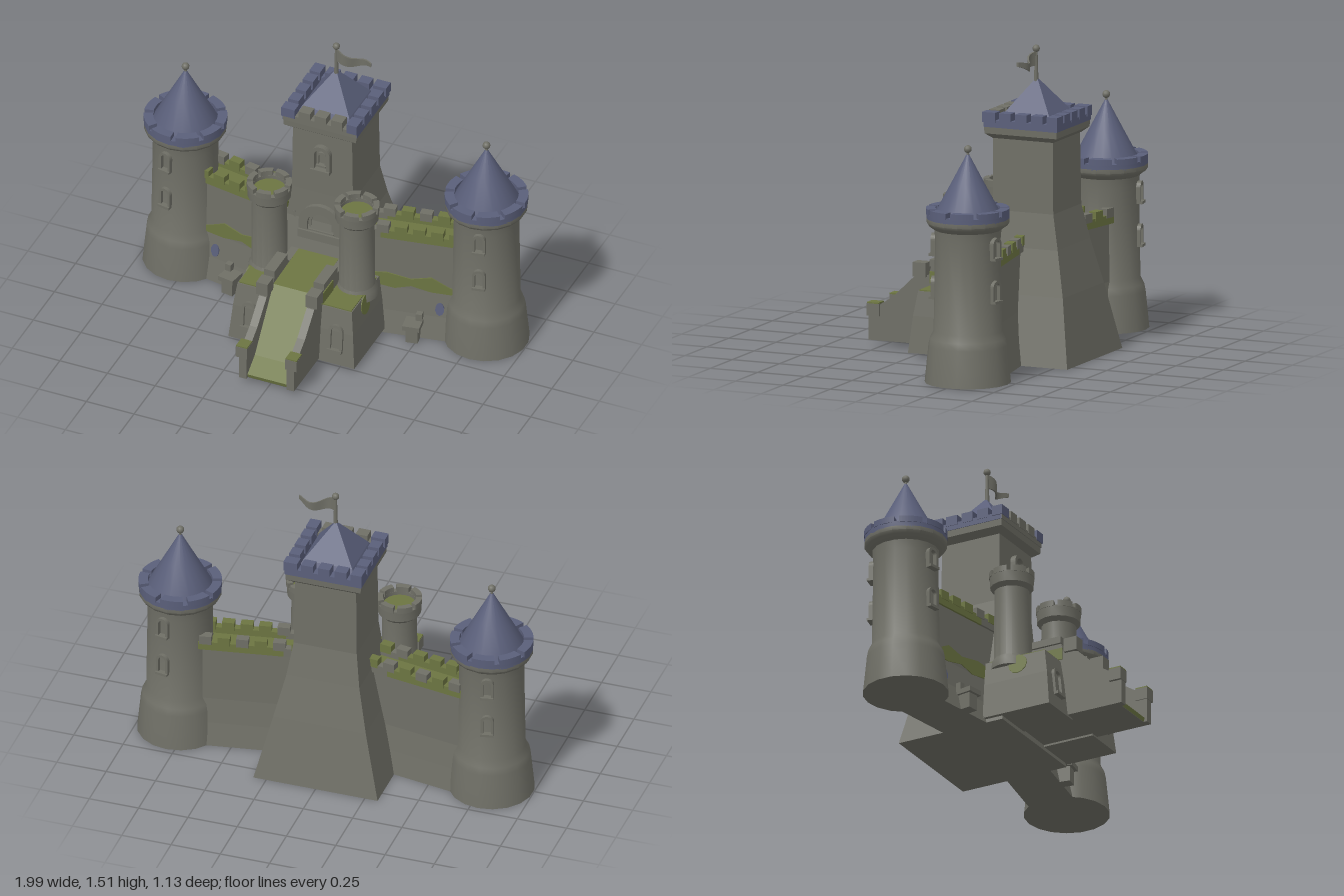
import * as THREE from 'three';
import { toCreasedNormals } from 'three/addons/utils/BufferGeometryUtils.js';

const material = (name, color) => {
  const m = new THREE.MeshStandardMaterial({ color, side: THREE.DoubleSide });
  m.name = name;
  return m;
};

export function createModel() {
  const stone = material('stone', 0x6f6f66);
  const slate = material('slate blue', 0x5a5f7a);
  const moss = material('moss', 0x6c7542);
  const model = new THREE.Group();
  model.name = 'castle';

  const add = (parent, name, geo, mat, x = 0, y = 0, z = 0) => {
    const m = new THREE.Mesh(geo, mat);
    m.name = name;
    m.position.set(x, y, z);
    parent.add(m);
    return m;
  };
  const group = (parent, name, x = 0, y = 0, z = 0) => {
    const g = new THREE.Group();
    g.name = name;
    g.position.set(x, y, z);
    parent.add(g);
    return g;
  };
  const box = (parent, name, mat, w, h, d, x, y, z) =>
    add(parent, name, new THREE.BoxGeometry(w, h, d), mat, x, y, z);
  const lathe = (pts, n = 18) => toCreasedNormals(
    new THREE.LatheGeometry(pts.map(p => new THREE.Vector2(...p)), n), 0.6);
  const extrude = (shape, depth) =>
    new THREE.ExtrudeGeometry(shape, { depth, bevelEnabled: false, curveSegments: 8 });
  const polygon = pts => new THREE.Shape(pts.map(p => new THREE.Vector2(...p)));

  // stacked rectangles, each [y, x0, x1, zBack, zFront]
  const loft = levels => {
    const rings = levels.map(([y, a, b, c, d]) => [[a, y, d], [b, y, d], [b, y, c], [a, y, c]]);
    const v = [];
    const quad = (p, q, r, s) => v.push(...p, ...q, ...r, ...p, ...r, ...s);
    for (let i = 0; i + 1 < rings.length; i++)
      for (let k = 0; k < 4; k++) {
        const n = (k + 1) % 4;
        quad(rings[i][k], rings[i][n], rings[i + 1][n], rings[i + 1][k]);
      }
    const [a, b, c, d] = rings[0];
    quad(d, c, b, a);
    quad(...rings[rings.length - 1]);
    const g = new THREE.BufferGeometry();
    g.setAttribute('position', new THREE.Float32BufferAttribute(v, 3));
    g.computeVertexNormals();
    return g;
  };

  const arch = (w, h, P = THREE.Shape) => {
    const s = new P();
    s.moveTo(-w, 0).lineTo(w, 0).lineTo(w, h - w);
    s.absarc(0, h - w, w, 0, Math.PI, false);
    s.lineTo(-w, 0);
    return s;
  };
  // arched frame with a sill, facing +z
  const windowFrame = (parent, name, w, h, rim, x, y, z, turn = 0, depth = 0.03) => {
    const g = group(parent, name, x, y, z);
    g.rotation.y = turn;
    const s = arch(w, h);
    const hole = arch(w - rim, h - 2 * rim, THREE.Path);
    s.holes.push(new THREE.Path(hole.getPoints(8).map(p => p.setY(p.y + rim))));
    add(g, 'frame', extrude(s, depth), stone);
    box(g, 'sill', stone, w * 2, rim, depth + 0.01, 0, rim / 2, depth / 2 + 0.005);
    return g;
  };

  // ring of curved battlement blocks
  const merlons = (parent, mat, n, r0, r1, y, h, fill) => {
    for (let i = 0; i < n; i++) {
      const a = (i / n) * Math.PI * 2, b = a + (fill * Math.PI * 2) / n;
      const s = new THREE.Shape();
      s.absarc(0, 0, r1, a, b, false);
      s.absarc(0, 0, r0, b, a, true);
      const m = add(parent, 'merlon', extrude(s, h), mat, 0, y, 0);
      m.rotation.x = -Math.PI / 2;
    }
  };

  // keep with its flared foot
  const keep = group(model, 'keep');
  add(keep, 'keepBody', loft([
    [0, -0.315, 0.315, -0.57, 0], [0.33, -0.235, 0.235, -0.51, -0.05],
    [0.55, -0.185, 0.185, -0.46, -0.1], [0.72, -0.16, 0.16, -0.425, -0.105],
    [1.1, -0.155, 0.155, -0.42, -0.105]]), stone);
  const crown = group(keep, 'keepCrown', 0, 0, -0.265);
  add(crown, 'corbel', loft([[1.07, -0.16, 0.16, -0.16, 0.16], [1.095, -0.19, 0.19, -0.19, 0.19],
    [1.13, -0.192, 0.192, -0.192, 0.192]]), stone);
  for (let k = 0; k < 4; k++) {
    const side = group(crown, 'parapet');
    side.rotation.y = (k * Math.PI) / 2;
    box(side, 'parapetWall', k ? slate : stone, 0.386, 0.035, 0.05, 0, 1.145, 0.17);
    for (let i = -2; i < 2; i++)
      box(side, 'merlon', k === 0 && Math.abs(i) < 2 ? stone : slate,
        i === -2 ? 0.07 : 0.06, 0.05, 0.055, i === -2 ? -0.165 : i * 0.085 + 0.005, 1.175, 0.17);
  }
  add(crown, 'keepRoof', loft([[1.13, -0.15, 0.15, -0.15, 0.15], [1.18, -0.125, 0.125, -0.125, 0.125],
    [1.345, -0.006, 0.006, -0.006, 0.006]]), slate);

  // flag on its pole
  const flag = group(keep, 'flag', 0.003, 0, -0.262);
  add(flag, 'pole', new THREE.CylinderGeometry(0.007, 0.012, 0.17, 8), stone, 0, 1.405, 0);
  add(flag, 'poleBall', new THREE.SphereGeometry(0.018, 10, 8), stone, 0, 1.493, 0);
  const cloth = new THREE.BoxGeometry(0.18, 1, 0.008, 12, 1, 1);
  const cp = cloth.attributes.position;
  for (let i = 0; i < cp.count; i++) {
    const t = cp.getX(i) / 0.18 + 0.5;
    cp.setY(i, 1.432 + cp.getY(i) * (0.07 - 0.05 * t) + 0.012 * Math.cos(t * 6));
    cp.setZ(i, cp.getZ(i) + 0.018 * Math.sin(t * 7));
    cp.setX(i, t * 0.185 + 0.003);
  }
  cloth.computeVertexNormals();
  add(flag, 'pennant', cloth, stone);

  // keep window and door
  windowFrame(keep, 'keepWindow', 0.05, 0.15, 0.018, 0, 0.86, -0.107);
  windowFrame(keep, 'keepWindowInner', 0.026, 0.08, 0.01, 0, 0.89, -0.107, 0, 0.015);
  windowFrame(keep, 'doorFrame', 0.115, 0.2, 0.045, 0, 0.455, -0.11);
  windowFrame(keep, 'doorInner', 0.066, 0.115, 0.012, 0, 0.495, -0.11, 0, 0.018);

  // ramp and landing
  const gate = group(model, 'gatehouse');
  const alongX = (shape, width, x) => {
    const g = extrude(shape, width);
    g.rotateY(-Math.PI / 2); // shape x becomes z
    g.translate(x + width / 2, 0, 0);
    return g;
  };
  add(gate, 'rampBody', alongX(polygon([[-0.1, 0.03], [0.54, 0.03], [0.54, 0.045], [0.46, 0.1],
    [0.24, 0.375], [-0.1, 0.385]]), 0.22, 0), stone);
  add(gate, 'rampMoss', alongX(polygon([[0.542, 0.03], [0.548, 0.05], [0.46, 0.107],
    [0.24, 0.382], [-0.06, 0.392], [-0.06, 0.385], [0.24, 0.375], [0.46, 0.1], [0.54, 0.045]]), 0.21, 0), moss);
  const railing = polygon([[-0.1, 0.03], [0.56, 0.03], [0.56, 0.19], [0.5, 0.205], [0.43, 0.25],
    [0.32, 0.355], [0.24, 0.37], [0.225, 0.425], [0.08, 0.425], [0.05, 0.39], [-0.1, 0.39]]);

  for (const s of [-1, 1]) {
    // ramp railing and posts
    add(gate, 'railing', alongX(railing, 0.04, s * 0.125), stone);
    box(gate, 'upperPost', stone, 0.06, 0.07, 0.07, s * 0.13, 0.395, 0.285);
    box(gate, 'lowerPost', stone, 0.06, 0.06, 0.065, s * 0.13, 0.18, 0.53);
    box(gate, 'postMoss', moss, 0.058, 0.007, 0.062, s * 0.13, 0.213, 0.53);
    box(gate, 'railCap', stone, 0.055, 0.035, 0.155, s * 0.13, 0.432, 0.153);
    box(gate, 'railMoss', moss, 0.007, 0.06, 0.13, s * 0.147, 0.36, 0.17);

    // gatehouse block
    const x = (a, b) => (s > 0 ? [a, b] : [-b, -a]);
    add(gate, 'gateBlock', loft([[0.02, ...x(0.1, 0.33), -0.1, 0.265], [0.2, ...x(0.1, 0.315), -0.1, 0.245],
      [0.32, ...x(0.1, 0.3), -0.1, 0.225]]), stone);
    add(gate, 'blockMoss', loft([[0.32, ...x(0.14, 0.295), -0.08, 0.22],
      [0.326, ...x(0.14, 0.295), -0.08, 0.22]]), moss);
    const spot = add(gate, 'mossSpot', new THREE.CylinderGeometry(0.05, 0.05, 0.008, 12), moss, s * 0.306, 0.275, 0.08);
    spot.rotation.z = Math.PI / 2 + s * 0.12;
    windowFrame(gate, 'gateWindow', 0.038, 0.15, 0.015, s * 0.228, 0.09, 0.24).rotation.x = -0.1;

    // gate turret
    const turret = group(gate, 'turret', s * 0.23, 0, 0.005);
    add(turret, 'turretBody', lathe([[0, 0.28], [0.105, 0.28], [0.1, 0.32], [0.088, 0.34], [0.085, 0.7],
      [0.105, 0.72], [0.108, 0.775], [0.08, 0.775], [0.08, 0.75], [0, 0.75]]), stone);
    add(turret, 'turretFloor', new THREE.CylinderGeometry(0.079, 0.079, 0.006, 18), moss, 0, 0.754, 0);
    merlons(turret, stone, 7, 0.08, 0.109, 0.77, 0.03, 0.8);

    // corner tower
    const tower = group(model, s > 0 ? 'leftTower' : 'rightTower', s * 0.79, 0, -0.265);
    add(tower, 'towerBody', lathe([[0, 0], [0.208, 0], [0.19, 0.18], [0.183, 0.215], [0.165, 0.25],
      [0.158, 0.7], [0.162, 0.745], [0.19, 0.765], [0.2, 0.78], [0.2, 0.8], [0, 0.8]]), stone);
    add(tower, 'crownRing', lathe([[0.15, 0.795], [0.2, 0.795], [0.2, 0.825], [0.15, 0.825]]), slate);
    merlons(tower, slate, 9, 0.155, 0.201, 0.82, 0.03, 0.82);
    add(tower, 'towerRoof', lathe([[0.165, 0.8], [0.155, 0.83], [0.08, 0.97], [0.006, 1.11]], 20), slate);
    add(tower, 'finialPole', new THREE.CylinderGeometry(0.006, 0.008, 0.04, 8), stone, 0, 1.115, 0);
    add(tower, 'finialBall', new THREE.SphereGeometry(0.019, 12, 8), stone, 0, 1.135, 0);
    for (const turn of [s * 0.2, Math.PI - s * 0.2])
      for (const y of [0.4, 0.61])
        windowFrame(tower, 'towerWindow', 0.032, 0.11, 0.013,
          0.147 * Math.sin(turn), y, 0.147 * Math.cos(turn), turn);

    // curtain wall, running along its own x axis
    const wall = group(model, s > 0 ? 'leftWall' : 'rightWall', s * 0.43, 0, -0.235);
    wall.rotation.y = s * 0.17;
    add(wall, 'wallBody', loft([[0, -0.3, 0.3, -0.11, 0.125], [0.12, -0.3, 0.3, -0.09, 0.1],
      [0.25, -0.3, 0.3, -0.075, 0.083], [0.54, -0.3, 0.3, -0.07, 0.075]]), stone);
    box(wall, 'walkwayMoss', moss, 0.56, 0.007, 0.12, 0, 0.542, 0);
    for (const side of [-1, 1]) {
      const z = side * 0.068;
      box(wall, 'parapetMoss', moss, 0.42, 0.045, 0.036, s * 0.05, 0.556, z);
      box(wall, 'parapetStone', stone, 0.16, 0.045, 0.036, s * -0.23, 0.556, z);
      for (let i = 0; i < 6; i++)
        box(wall, 'merlon', i === 1 || (side < 0 && i % 2) ? stone : moss,
          0.06, 0.045, 0.042, s * (-0.23 + i * 0.09), 0.588, z);
    }
    const band = polygon([[-0.2, 0.26], [-0.08, 0.245], [0, 0.27], [0.1, 0.25], [0.2, 0.25], [0.24, 0.28],
      [0.19, 0.29], [0.1, 0.335], [0, 0.31], [-0.12, 0.33], [-0.2, 0.32]].map(([px, py]) => [px * s, py]));
    add(wall, 'wallMoss', extrude(band, 0.008), moss, 0, 0, 0.079);
    const stain = add(wall, 'slateStain', new THREE.CylinderGeometry(0.03, 0.03, 0.009, 10), slate, s * 0.145, 0.165, 0.096);
    stain.scale.set(0.75, 1, 1.15);
    stain.rotation.x = Math.PI / 2 - 0.13;

    // small stone seat at the wall foot
    const seat = group(model, 'wallSeat', s * 0.48, 0, -0.09);
    seat.rotation.y = s * 0.17;
    box(seat, 'seatFoot', stone, 0.06, 0.09, 0.07, 0, 0.045, -0.01);
    box(seat, 'seatTop', stone, 0.085, 0.025, 0.09, 0, 0.09, -0.005);
    box(seat, 'seatBack', stone, 0.03, 0.06, 0.03, s * 0.025, 0.11, -0.035);
  }
  return model;
}
